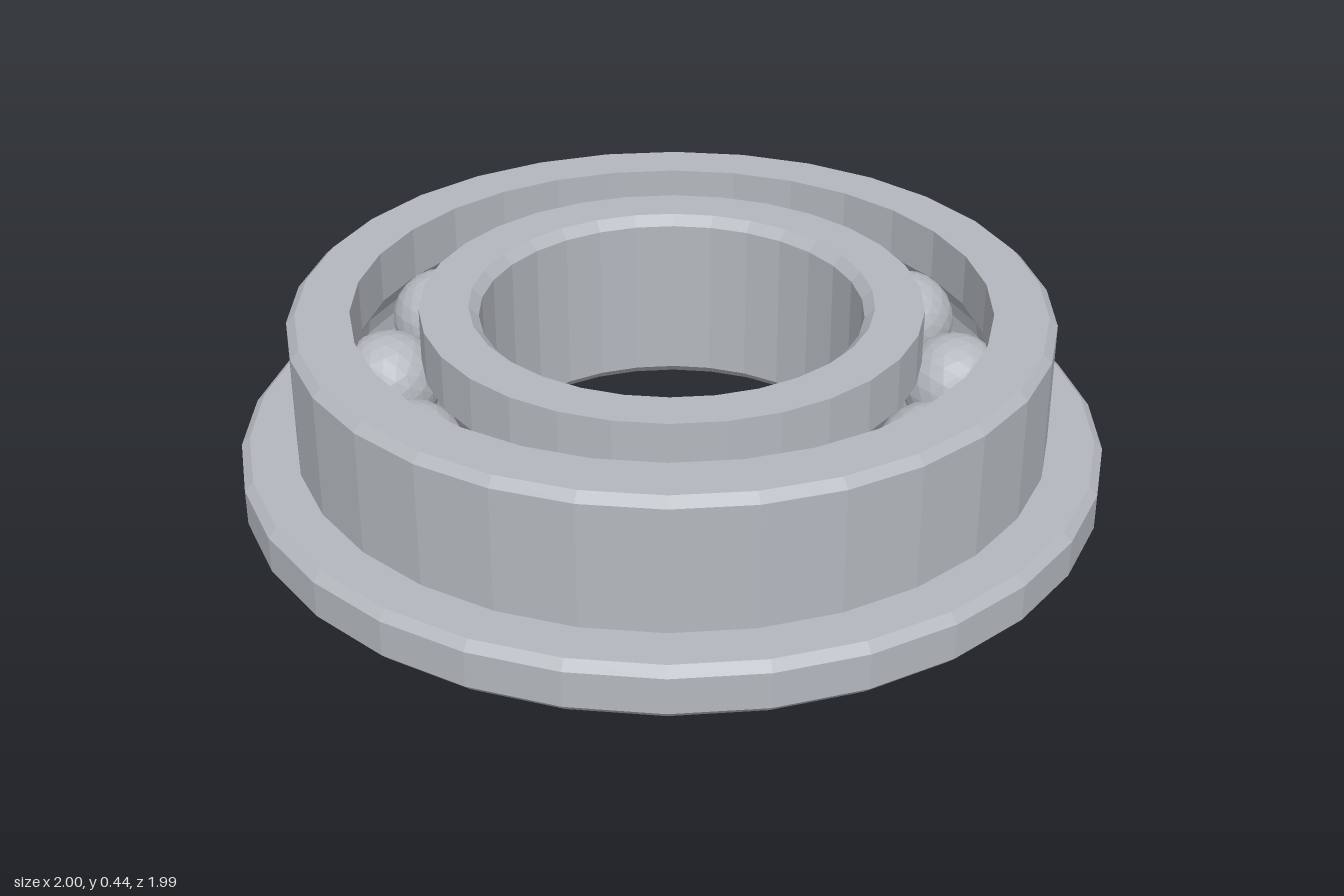
import * as THREE from 'three';

const SEGMENTS = 30, BALLS = 12;
const HEIGHT = 0.437, MID = HEIGHT / 2;
const PITCH = 0.655, BALL_R = 0.12;
const OUTER_BORE = 0.73, INNER_RIM = 0.575;

// Gives every triangle its own face normal
function faceted(geometry) {
  const flat = geometry.index ? geometry.toNonIndexed() : geometry;
  flat.computeVertexNormals();
  return flat;
}

// Ball groove, as an arc around the ball centre between two angles
function groove(radius, from, to, steps = 6) {
  return Array.from({ length: steps + 1 }, (_, i) => {
    const a = from + (to - from) * i / steps;
    return [PITCH + radius * Math.cos(a), MID + radius * Math.sin(a)];
  });
}

// Turns a closed, counterclockwise cross-section into a ring
function ring(name, profile, material) {
  const points = [...profile, profile[0]].map(([r, y]) => new THREE.Vector2(r, y));
  const mesh = new THREE.Mesh(faceted(new THREE.LatheGeometry(points, SEGMENTS, Math.PI / 2)), material);
  mesh.name = name;
  return mesh;
}

export function createModel() {
  const group = new THREE.Group();
  group.name = 'flangedBallBearing';
  const steel = new THREE.MeshStandardMaterial({ color: 0xb4b8be });
  steel.name = 'steel';

  // Outer ring with bevelled flange and body
  const c = 0.02;
  const outerAngle = Math.acos((OUTER_BORE - PITCH) / BALL_R);
  group.add(ring('outerRing', [
    [OUTER_BORE, 0], [1 - c, 0], [1, c], [1, 0.125 - c], [1 - c, 0.125],
    [0.873, 0.125], [0.873, HEIGHT - c], [0.873 - c, HEIGHT], [OUTER_BORE, HEIGHT],
    ...groove(BALL_R, outerAngle, -outerAngle),
  ], steel));

  // Inner ring with bevelled bore
  const innerAngle = Math.acos((INNER_RIM - PITCH) / BALL_R);
  group.add(ring('innerRing', [
    [0.463, 0], [INNER_RIM, 0],
    ...groove(BALL_R, 2 * Math.PI - innerAngle, innerAngle),
    [INNER_RIM, HEIGHT], [0.463, HEIGHT], [0.44, HEIGHT - 0.023], [0.44, 0.023],
  ], steel));

  // Balls between the rings
  const ballGeometry = faceted(new THREE.IcosahedronGeometry(BALL_R, 3));
  const balls = new THREE.Group();
  balls.name = 'balls';
  for (let i = 0; i < BALLS; i++) {
    const a = i / BALLS * Math.PI * 2;
    const ball = new THREE.Mesh(ballGeometry, steel);
    ball.name = 'ball';
    ball.position.set(PITCH * Math.cos(a), MID, PITCH * Math.sin(a));
    balls.add(ball);
  }
  group.add(balls);
  return group;
}
